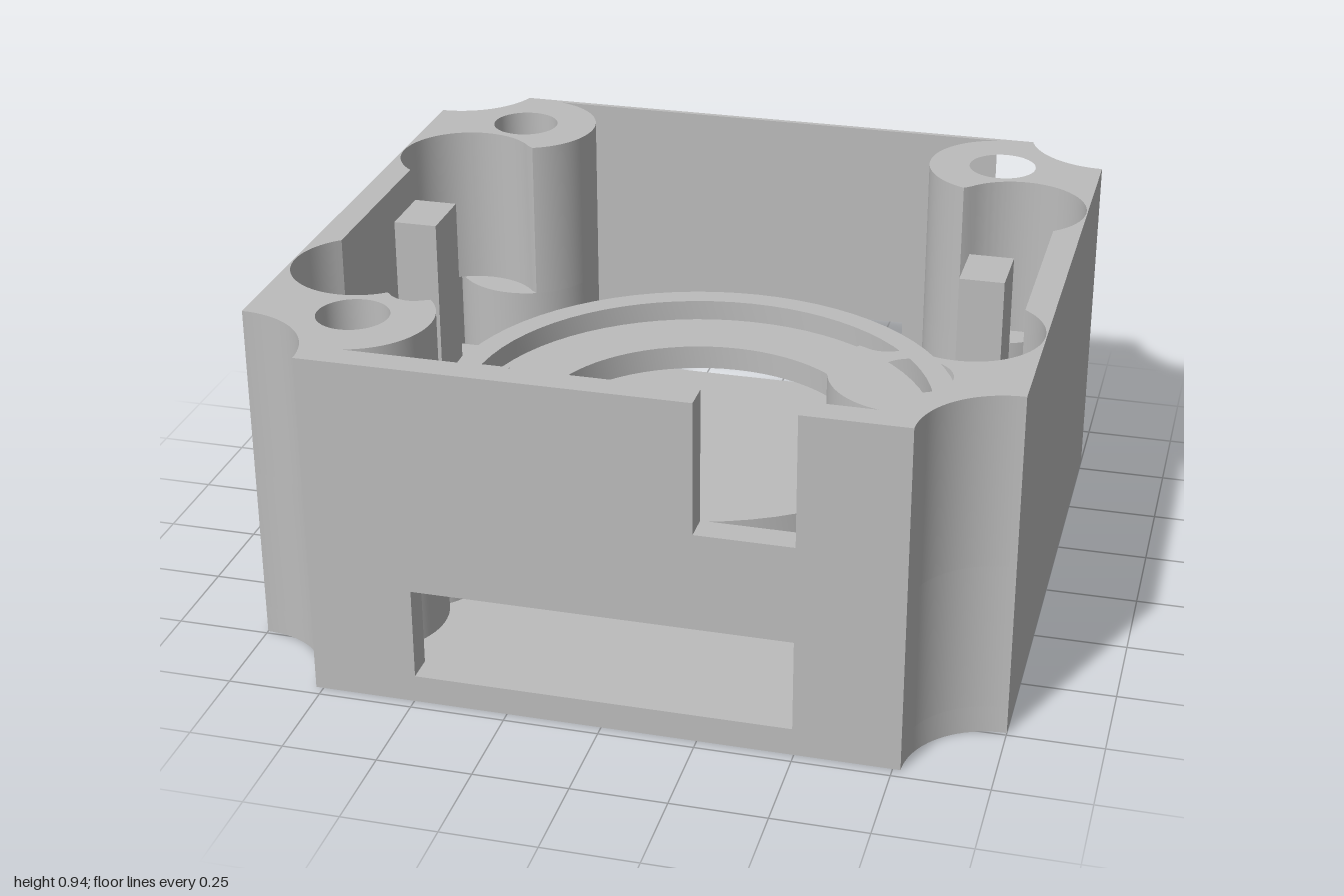
import * as THREE from 'three';
import { toCreasedNormals } from 'three/addons/utils/BufferGeometryUtils.js';

const ZC = -0.03;              // centre of the cavity along z
const H = 0.945, FLOOR = 0.075, LEDGE = 0.48;
const BOSS = { x: 0.72, z: 0.72, r: 0.21 };      // measured from the cavity centre
const SCOOP = { x: 0.805, z: 0.42, r: 0.192 };
const GROOVE = { x: 0.615, z: 0.53, r: 0.075 };
const CUT = 0.23, IN = 0.925, BACK = 0.94, SLOT_F = 0.495, SLOT_B = 0.41;
const rad = THREE.MathUtils.degToRad;

// points along an arc, angles in degrees
function arc(cx, cz, r, a0, a1, n = 20) {
  return Array.from({ length: n + 1 }, (_, i) => {
    const a = rad(a0 + (a1 - a0) * i / n);
    return [cx + r * Math.cos(a), cz + r * Math.sin(a)];
  });
}

// rounded face of a screw boss, bitten into by other circles
function bossFace(a0, a1, bites) {
  return arc(0, 0, 1, a0, a1, 72).map(([c, s]) => {
    let r = BOSS.r;
    for (const b of bites) {
      const dx = b.x - BOSS.x, dz = b.z - BOSS.z;
      const m = dx * c + dz * s, disc = m * m - dx * dx - dz * dz + b.r * b.r;
      if (disc > 0 && m > 0) r = Math.min(r, m - Math.sqrt(disc));
    }
    return [BOSS.x + r * c, BOSS.z + r * s];
  });
}

// inner contour of one corner, from the end wall round to the side wall
function corner(upper, front) {
  if (!upper) return bossFace(102.6, 347.4, []);
  const a = Math.acos((IN - SCOOP.x) / SCOOP.r) * 180 / Math.PI;
  return [
    ...bossFace(102.6, 319.5, front ? [SCOOP, GROOVE] : [SCOOP]),
    ...arc(SCOOP.x, SCOOP.z, SCOOP.r, 74, -a),
  ];
}

const flipZ = pts => pts.map(([x, z]) => [x, -z]);

// outer contour of the +x side, front to back
function outerSide() {
  const start = 180 + Math.asin((1 - BACK) / CUT) * 180 / Math.PI;
  return [
    ...arc(1, 1, CUT, 180, 270),
    ...flipZ(arc(1, 1, CUT, start, 270)).reverse(),
  ];
}

// extrude a plan (x, z) between two heights
function slab(points, y0, y1, holes = []) {
  const shape = new THREE.Shape(points.map(([x, z]) => new THREE.Vector2(x, z)));
  for (const [x, z, r] of holes) {
    const p = new THREE.Path();
    p.absarc(x, z, r, 0, Math.PI * 2, true);
    shape.holes.push(p);
  }
  const g = new THREE.ExtrudeGeometry(shape, { depth: y1 - y0, bevelEnabled: false, curveSegments: 24 });
  g.rotateX(Math.PI / 2).translate(0, y1, ZC);
  return toCreasedNormals(g, rad(30));
}

export function createModel() {
  const model = new THREE.Group();
  model.name = 'enclosure';
  const grey = new THREE.MeshStandardMaterial({ color: 0xbcbcbc });
  grey.name = 'plain grey';

  const add = (name, geometry) => {
    const m = new THREE.Mesh(geometry, grey);
    m.name = name;
    model.add(m);
    return m;
  };
  const box = (name, x0, x1, y0, y1, z0, z1) => add(name,
    new THREE.BoxGeometry(x1 - x0, y1 - y0, z1 - z0)
      .translate((x0 + x1) / 2, (y0 + y1) / 2, (z0 + z1) / 2));

  // floor plate with scalloped corners
  const side = outerSide();
  const mirrored = side.map(([x, z]) => [-x, z]).reverse();
  add('floor', slab([...side, ...mirrored], 0, FLOOR));

  for (const s of [1, -1]) {
    const label = s > 0 ? 'left' : 'right';
    // side wall with its screw bosses: plain below, scooped out above
    for (const upper of [false, true]) {
      const plan = [
        [SLOT_F, 1], ...side, [SLOT_B, -BACK], [SLOT_B, -IN],
        ...flipZ(corner(upper, false)),
        ...corner(upper, true).reverse(),
        [SLOT_F, IN],
      ].map(([x, z]) => [s * x, z]);
      const r = upper ? 0.095 : 0.075;
      const holes = [1, -1].map(k => [s * BOSS.x, k * BOSS.z, r]);
      add(label + (upper ? 'UpperWall' : 'LowerWall'),
        slab(plan, upper ? LEDGE : FLOOR, upper ? H : LEDGE, holes));
    }

    // block carrying the ring, upright post and locating tab
    const pair = (a, b) => s > 0 ? [a, b] : [-b, -a];
    box(label + 'RingSupport', ...pair(0.70, 0.865), FLOOR, 0.46, -0.20, 0.13);
    box(label + 'Post', ...pair(0.725, 0.845), 0.46, 0.93, -0.12, 0.05);
    box(label + 'RingTab', ...pair(0.57, 0.67), 0.39, 0.46, -0.08, 0.01);

    // small screw pillar beside the front boss
    add(label + 'Pillar', slab(arc(s * GROOVE.x, GROOVE.z, 0.13, 0, 351, 39), FLOOR, 0.40,
      [[s * GROOVE.x, GROOVE.z, GROOVE.r]]));
  }

  // front wall with slot below and notch above
  const f0 = IN + ZC, f1 = 1 + ZC;
  box('frontWallBand', -SLOT_F, SLOT_F, 0.325, 0.59, f0, f1);
  box('frontWallTop', -SLOT_F, 0.24, 0.59, H, f0, f1);

  // thin back wall above its slot
  box('backWall', -SLOT_B, SLOT_B, 0.325, H, -BACK + ZC, -IN + ZC);

  // stepped ring seat
  const profile = [
    [0.46, 0.33], [0.725, 0.33], [0.725, 0.46], [0.655, 0.46],
    [0.655, 0.40], [0.46, 0.40], [0.46, 0.33],
  ].map(([r, y]) => new THREE.Vector2(r, y));
  add('ringSeat', toCreasedNormals(new THREE.LatheGeometry(profile, 72), rad(30)).translate(0, 0, ZC));

  return model;
}
